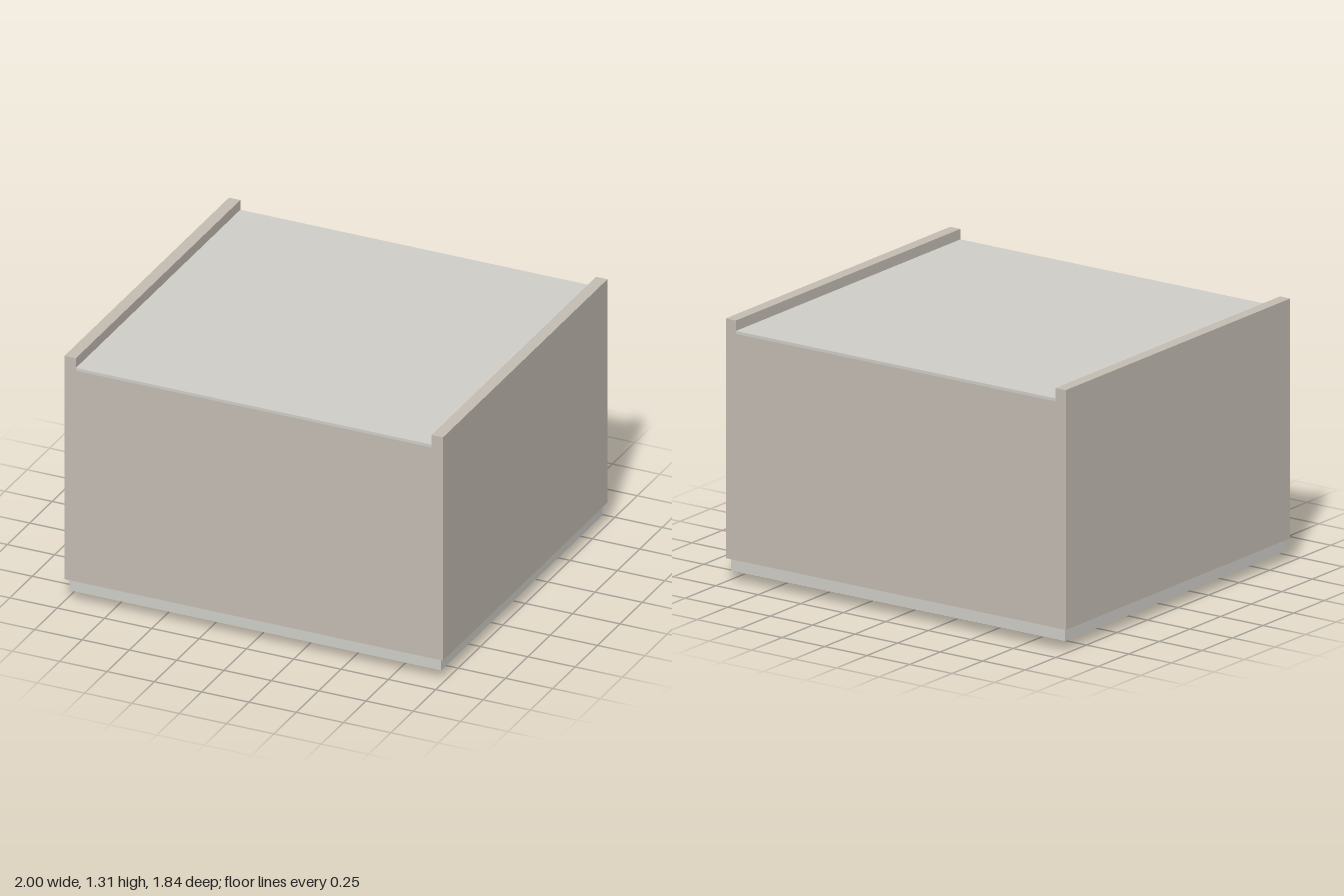
import * as THREE from 'three';

// Wall cabinet lying on its door: carcass panels, recessed back, door and pull.
export function createModel() {
  const model = new THREE.Group();
  model.name = 'cabinet';

  const carcass = new THREE.MeshStandardMaterial({ color: 0xc4bdb3 });
  const pale = new THREE.MeshStandardMaterial({ color: 0xd0cfc9 });
  const metal = new THREE.MeshStandardMaterial({ color: 0x808084 });

  // Box given by its minimum and maximum corners
  function panel(name, material, [x0, y0, z0], [x1, y1, z1]) {
    const mesh = new THREE.Mesh(new THREE.BoxGeometry(x1 - x0, y1 - y0, z1 - z0), material);
    mesh.position.set((x0 + x1) / 2, (y0 + y1) / 2, (z0 + z1) / 2);
    mesh.name = name;
    model.add(mesh);
  }

  const W = 1, D = 0.918, T = 0.06; // half width, half depth, board thickness
  const bottom = 0.117, top = 1.315, backTop = 1.263, backBase = 1.248;
  const inner = W - T;

  // Side boards stand proud of the back panel
  panel('leftSide', carcass, [inner, bottom, -D], [W, top, D]);
  panel('rightSide', carcass, [-W, bottom, -D], [-inner, top, D]);

  // End boards fitted between the sides
  panel('frontEnd', carcass, [-inner, bottom, D - T], [inner, backBase, D]);
  panel('rearEnd', carcass, [-inner, bottom, -D], [inner, backBase, -D + T]);

  // Thin recessed back panel
  panel('backPanel', pale, [-inner, backBase, -D], [inner, backTop, D]);

  // Door, slightly smaller than the carcass, and its bar pull
  panel('door', pale, [-0.982, 0.053, -0.9], [0.982, bottom, 0.9]);
  panel('handle', metal, [-0.192, 0, 0.585], [0.192, 0.053, 0.635]);

  return model;
}
